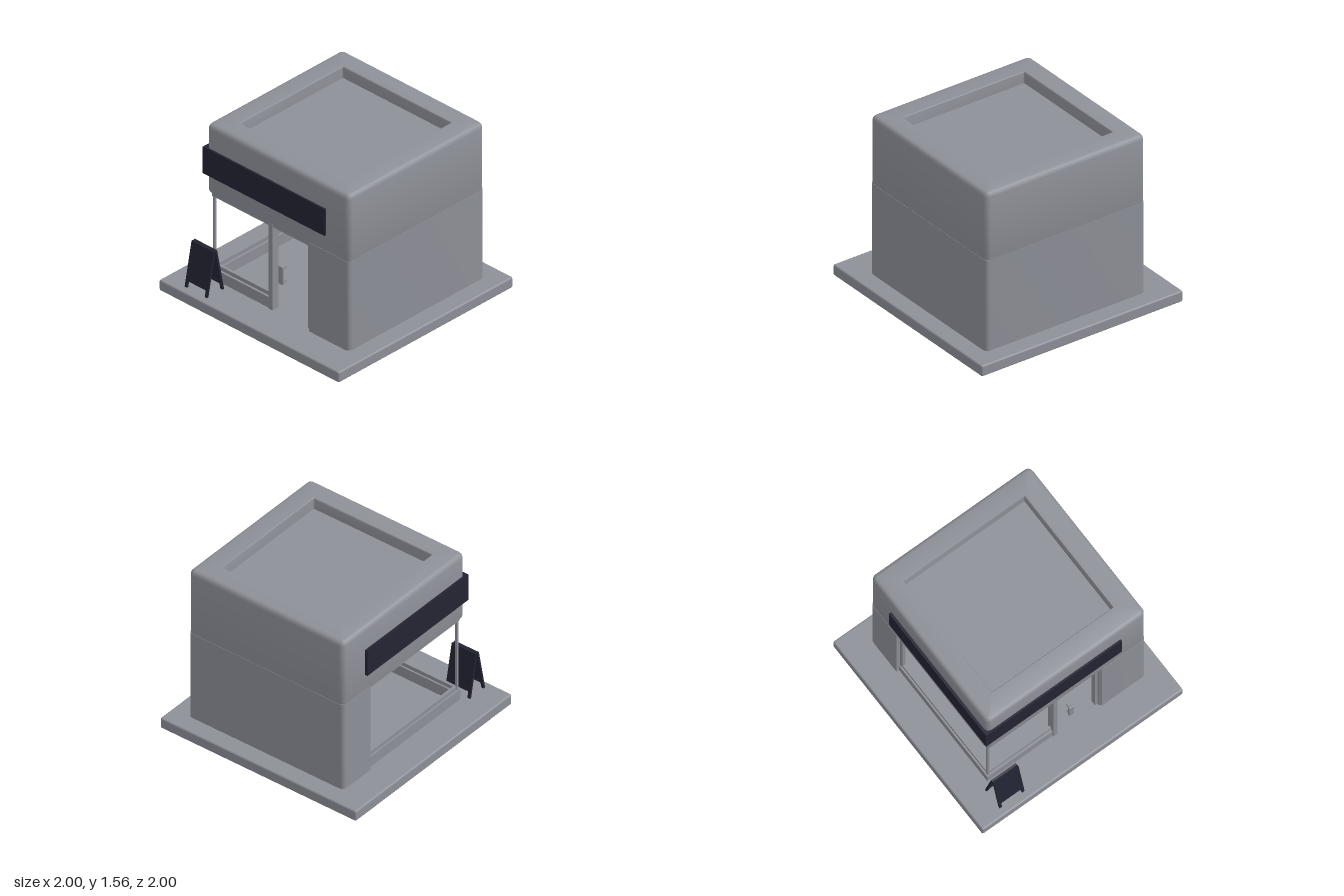
import * as THREE from 'three';
import { toCreasedNormals } from 'three/addons/utils/BufferGeometryUtils.js';
import { RoundedBoxGeometry } from 'three/addons/geometries/RoundedBoxGeometry.js';

const mat = (name, color) => new THREE.MeshStandardMaterial({ name, color });
const X0 = -0.745, X1 = 0.84, Z0 = -0.84, Z1 = 0.72, R = 0.05;

// Rounded-rectangle loft: profile rows are [inset, y]; an inset of null closes at the centre
function roundedLoft(profile, steps = 6) {
  const cx = (X0 + X1) / 2, cz = (Z0 + Z1) / 2, pos = [], index = [];
  const n = 4 * (steps + 1);
  for (const [inset, y] of profile) {
    for (let q = 0; q < 4; q++) {
      for (let s = 0; s <= steps; s++) {
        if (inset === null) { pos.push(cx, y, cz); continue; }
        const a = (q + s / steps) * Math.PI / 2, r = Math.max(0.008, R - inset);
        const sx = q === 0 || q === 3 ? 1 : -1, sz = q < 2 ? 1 : -1;
        pos.push(cx + sx * ((X1 - X0) / 2 - inset - r) + r * Math.cos(a), y,
          cz + sz * ((Z1 - Z0) / 2 - inset - r) + r * Math.sin(a));
      }
    }
  }
  for (let i = 0; i < profile.length - 1; i++) {
    for (let j = 0; j < n; j++) {
      const a = i * n + j, b = i * n + (j + 1) % n, c = a + n, d = b + n;
      if (profile[i][0] !== null) index.push(a, c, b);
      if (profile[i + 1][0] !== null) index.push(b, c, d);
      
    }
  }
  // centre caps need the one triangle that does not collapse
  const geo = new THREE.BufferGeometry();
  geo.setAttribute('position', new THREE.Float32BufferAttribute(pos, 3));
  geo.setIndex(index);
  return toCreasedNormals(geo, 0.6);
}

export function createModel() {
  const model = new THREE.Group();
  model.name = 'cornerShop';
  const plaster = mat('grey plaster', 0x8e9098);
  const dark = mat('dark navy', 0x232433);
  const coral = mat('coral fabric', 0xe8806e);
  const lime = mat('lime fabric', 0xb5c83c);
  const mauve = mat('mauve fabric', 0xa98090);

  const add = (name, geo, material, parent = model) => {
    const mesh = new THREE.Mesh(geo, material);
    mesh.name = name;
    parent.add(mesh);
    return mesh;
  };
  const group = (name) => {
    const g = new THREE.Group();
    g.name = name;
    model.add(g);
    return g;
  };
  // Box given by its extents on each axis
  const box = (name, [xa, xb], [ya, yb], [za, zb], material, parent) => {
    const mesh = add(name, new THREE.BoxGeometry(xb - xa, yb - ya, zb - za), material, parent);
    mesh.position.set((xa + xb) / 2, (ya + yb) / 2, (za + zb) / 2);
    return mesh;
  };
  // Round limb between two points
  const limb = (name, a, b, ra, rb, material, parent) => {
    const p = new THREE.Vector3(...a), q = new THREE.Vector3(...b), d = q.clone().sub(p);
    const mesh = add(name, new THREE.CylinderGeometry(rb, ra, d.length(), 12), material, parent);
    mesh.position.copy(p).add(q).multiplyScalar(0.5);
    mesh.quaternion.setFromUnitVectors(new THREE.Vector3(0, 1, 0), d.normalize());
    return mesh;
  };

  // Ground slab
  add('baseSlab', new RoundedBoxGeometry(2, 0.1, 2, 3, 0.015), plaster).position.y = 0.05;

  // Upper storey with soft parapet and sunken roof
  add('upperStorey', roundedLoft([
    [null, 0.92], [0.02, 0.92], [0.005, 0.93], [0, 0.95], [0, 1.52], [0.006, 1.54], [0.018, 1.555],
    [0.04, 1.562], [0.185, 1.562], [0.19, 1.555], [0.195, 1.46], [null, 1.46],
  ]), plaster);

  // Ground-floor walls, open at the front left corner (shape y is -z)
  const s = new THREE.Shape();
  s.moveTo(X0, 0.49);
  s.lineTo(X0, -Z0 - R);
  s.quadraticCurveTo(X0, -Z0, X0 + R, -Z0);
  s.lineTo(X1 - R, -Z0);
  s.quadraticCurveTo(X1, -Z0, X1, -Z0 - R);
  s.lineTo(X1, -Z1 + R);
  s.quadraticCurveTo(X1, -Z1, X1 - R, -Z1);
  s.lineTo(0.4, -Z1);
  s.lineTo(0.38, -Z1 + 0.02);
  s.lineTo(0.38, -0.62);
  s.lineTo(0.75, -0.62);
  s.lineTo(0.75, 0.76);
  s.lineTo(-0.66, 0.76);
  s.lineTo(-0.66, 0.49);
  const walls = new THREE.ExtrudeGeometry(s, { depth: 0.86, bevelEnabled: false, curveSegments: 6 });
  walls.rotateX(-Math.PI / 2).translate(0, 0.08, 0);
  add('groundFloorWalls', toCreasedNormals(walls, 0.6), plaster);

  // Shop window and door frames
  const frames = group('shopFrames');
  box('frontSill', [-0.72, -0.05], [0.09, 0.2], [0.63, 0.69], plaster, frames);
  box('frontSillFrame', [-0.7, -0.07], [0.2, 0.235], [0.645, 0.67], plaster, frames);
  box('sideSill', [-0.72, -0.66], [0.09, 0.2], [-0.5, 0.69], plaster, frames);
  box('sideSillFrame', [-0.705, -0.68], [0.2, 0.235], [-0.49, 0.66], plaster, frames);
  box('cornerPost', [-0.71, -0.69], [0.19, 0.93], [0.66, 0.68], plaster, frames);
  box('frontHeader', [-0.71, 0.39], [0.88, 0.93], [0.645, 0.69], plaster, frames);
  box('sideHeader', [-0.71, -0.67], [0.88, 0.93], [-0.5, 0.66], plaster, frames);
  box('sideJamb', [-0.71, -0.68], [0.19, 0.9], [-0.5, -0.46], plaster, frames);
  box('doorMullion', [-0.07, -0.03], [0.09, 0.93], [0.63, 0.7], plaster, frames);
  box('doorJamb', [0.355, 0.39], [0.09, 0.93], [0.64, 0.685], plaster, frames);

  // Door handle
  const handle = group('doorHandle');
  add('grip', new RoundedBoxGeometry(0.05, 0.17, 0.02, 2, 0.008), plaster, handle).position.set(0.09, 0.495, 0.72);
  for (const y of [0.43, 0.56]) box('handleStub', [0.075, 0.105], [y - 0.012, y + 0.012], [0.675, 0.715], plaster, handle);

  // Sign band wrapping the corner
  const sign = group('signBand');
  box('frontSign', [-0.768, 0.585], [1.09, 1.34], [0.71, 0.737], dark, sign);
  box('sideSign', [-0.768, -0.735], [1.09, 1.34], [-0.56, 0.715], dark, sign);

  // Folding pavement board: two leaning leaves
  const board = group('pavementBoard');
  for (const [foot, top] of [[0.925, 0.845], [0.745, 0.825]]) {
    const leaf = new THREE.Group();
    leaf.name = 'boardLeaf';
    leaf.position.set(-0.655, 0.1, foot);
    leaf.rotation.x = Math.atan2(top - foot, 0.4);
    board.add(leaf);
    const side = Math.sign(foot - top);
    box('panel', [-0.115, 0.115], [0.065, 0.4], [-0.006, 0.006], dark, leaf);
    for (const x of [-0.112, 0.112]) box('leg', [x - 0.012, x + 0.012], [0, 0.408], [-0.009, 0.009], dark, leaf);
    for (const y of [0.07, 0.395]) box('rail', [-0.11, 0.11], [y - 0.012, y + 0.012], [-0.009, 0.009], dark, leaf);
    box('hingeBlock', [-0.09, 0.09], [0.385, 0.405], [side > 0 ? -0.012 : 0, side > 0 ? 0 : 0.012], dark, leaf);
  }

  // Back-wall shelves with rows of bags
  const shelves = group('shelves');
  const rows = [
    [mauve, coral, mauve, coral, coral, lime, coral],
    [coral, mauve, lime, mauve, coral, lime, mauve],
    [coral, plaster, coral, mauve, coral, lime, coral],
    [mauve, lime, coral, lime, coral, plaster, mauve],
  ];
  rows.forEach((row, r) => {
    const y = 0.61 - r * 0.115;
    box('shelf', [-0.56, 0.64], [y - 0.022, y], [-0.765, -0.56], plaster, shelves);
    row.forEach((material, i) => {
      const bag = add('bag', new THREE.SphereGeometry(1, 12, 6, 0, Math.PI * 2, 0, Math.PI / 2), material, shelves);
      bag.scale.set(0.065, 0.068, 0.06);
      bag.position.set(-0.48 + i * 0.153, y, -0.65);
      bag.rotation.y = (i * 2 + r) * 0.7;
    });
  });

  // Display figures
  const figure = (x, z, coat, shoes) => {
    const f = group('displayFigure');
    f.position.set(x, 0.1, z);
    const torso = add('coat', new THREE.LatheGeometry([[0, 0.33], [0.05, 0.33], [0.052, 0.4], [0.036, 0.48], [0.052, 0.58],
      [0.05, 0.62], [0.018, 0.645], [0, 0.645]].map(p => new THREE.Vector2(...p)), 14), coat, f);
    torso.scale.z = 0.7;
    const head = add('head', new THREE.SphereGeometry(0.032, 12, 8), plaster, f);
    head.scale.set(0.8, 1.2, 0.9);
    head.position.y = 0.675;
    for (const m of [-1, 1]) {
      limb('upperArm', [m * 0.045, 0.62, 0], [m * 0.065, 0.48, -0.01], 0.017, 0.014, coat, f);
      limb('forearm', [m * 0.065, 0.48, -0.01], [m * 0.06, 0.34, 0.02], 0.014, 0.01, coat, f);
      limb('leg', [m * 0.024, 0.35, 0], [m * 0.026, 0.02, 0], 0.025, 0.015, plaster, f);
      box('shoe', [m * 0.026 - 0.014, m * 0.026 + 0.014], [0, 0.03], [-0.02, 0.045], shoes, f);
    }
  };
  figure(-0.145, 0.0, coral, lime);
  figure(0.4, -0.1, lime, mauve);

  return model;
}
